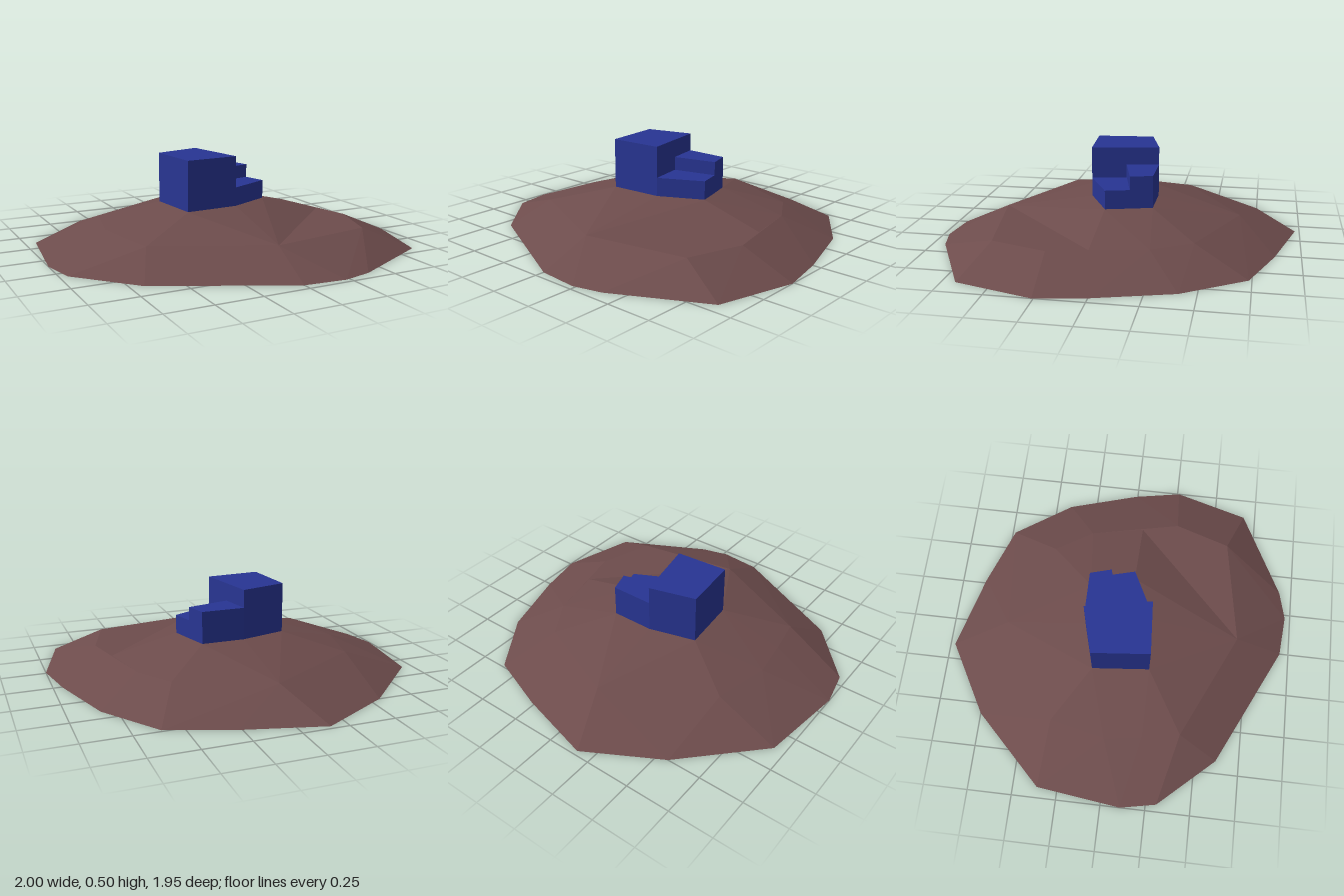
import * as THREE from 'three';
import { ConvexGeometry } from 'three/addons/geometries/ConvexGeometry.js';

const earth = new THREE.MeshStandardMaterial({ color: 0x6d4c4c, flatShading: true, side: THREE.DoubleSide });
const blue = new THREE.MeshStandardMaterial({ color: 0x283593, flatShading: true });

// Ground plans as [x, z] corners
const RIM = [[-0.16, -0.975], [0.27, -0.86], [0.61, -0.735], [0.83, -0.41], [0.95, -0.01], [1, 0.26], [0.88, 0.68],
  [0.39, 0.93], [0.23, 0.97], [0, 0.95], [-0.68, 0.62], [-0.96, 0.31], [-1, 0.11], [-0.94, -0.365], [-0.56, -0.75]];
const SHOULDER = [[0.6, -0.24], [0.47, -0.45], [0.23, -0.55], [-0.03, -0.66], [-0.58, -0.33], [-0.65, -0.02],
  [-0.62, 0.19], [-0.58, 0.4], [0.02, 0.68]];
// Corner of the level ledge at the front left of the shoulder
const LEDGE = [[0.31, 0.63], [0.61, 0.58], [0.71, 0.27]];
const LEDGE_END = [0.66, 0.06];
const SUMMIT = [[-0.28, -0.13], [-0.02, -0.2], [0.22, -0.2], [0.29, 0.05], [0.05, 0.17], [-0.25, 0.19]];

// Faceted tier: hull between two level rings, with the bottom left open
function tier(name, lower, y0, upper, y1) {
  const ring = (plan, y) => plan.map(([x, z]) => new THREE.Vector3(x, y, z));
  const hull = new ConvexGeometry([...ring(lower, y0), ...ring(upper, y1)]);
  const p = hull.getAttribute('position');
  const kept = [];
  for (let i = 0; i < p.count; i += 3) {
    if (Math.max(p.getY(i), p.getY(i + 1), p.getY(i + 2)) < y0 + 0.001) continue;
    for (let j = i; j < i + 3; j++) kept.push(p.getX(j), p.getY(j), p.getZ(j));
  }
  const geometry = new THREE.BufferGeometry();
  geometry.setAttribute('position', new THREE.Float32BufferAttribute(kept, 3));
  geometry.computeVertexNormals();
  const mesh = new THREE.Mesh(geometry, earth);
  mesh.name = name;
  return mesh;
}

// Upright block over a four-cornered plan
function block(name, plan, top) {
  const base = 0.221;
  const shape = new THREE.Shape(plan.map(([x, z]) => new THREE.Vector2(x, -z)));
  const geometry = new THREE.ExtrudeGeometry(shape, { depth: top - base, bevelEnabled: false });
  geometry.rotateX(-Math.PI / 2).translate(0, base, 0);
  const mesh = new THREE.Mesh(geometry, blue);
  mesh.name = name;
  return mesh;
}

export function createModel() {
  const model = new THREE.Group();
  model.name = 'hillWithBlocks';

  // Lower slope with its level top, then the upper slope set back behind the ledge
  const hill = new THREE.Group();
  hill.name = 'hill';
  hill.add(
    tier('lowerSlope', RIM, 0, [...SHOULDER, ...LEDGE, LEDGE_END], 0.125),
    tier('upperSlope', [...SHOULDER, LEDGE_END], 0.125, SUMMIT, 0.22),
  );
  model.add(hill);

  // Three stepped blocks sharing the summit
  const blocks = new THREE.Group();
  blocks.name = 'steppedBlocks';
  blocks.add(
    block('tallBlock', [[-0.28, -0.13], [-0.02, -0.2], [0.05, 0.17], [-0.25, 0.19]], 0.5),
    block('middleBlock', [[-0.02, -0.2], [0.22, -0.2], [0.255, -0.08], [0.01, -0.02]], 0.4),
    block('lowBlock', [[0.01, -0.02], [0.255, -0.08], [0.29, 0.05], [0.05, 0.17]], 0.325),
  );
  model.add(blocks);
  return model;
}
